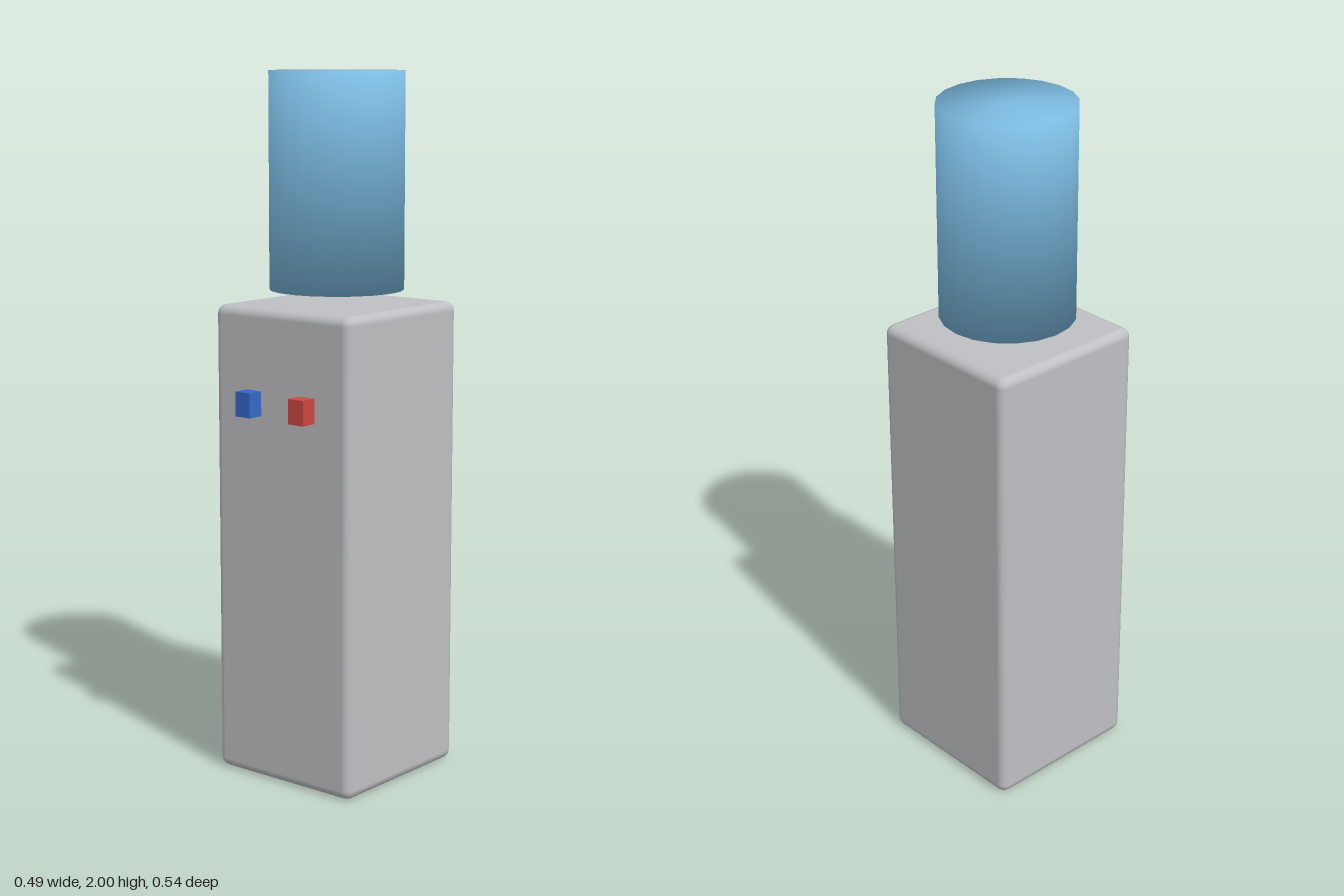
import * as THREE from 'three';
import { RoundedBoxGeometry } from 'three/addons/geometries/RoundedBoxGeometry.js';

const material = (name, color) => {
  const m = new THREE.MeshStandardMaterial({ color });
  m.name = name;
  return m;
};

export function createModel() {
  const group = new THREE.Group();
  group.name = 'waterDispenser';
  const grey = material('cabinet grey', 0xbfc0c3);
  const blue = material('bottle blue', 0x7bbae0);
  const cold = material('cold tap blue', 0x3568c8);
  const hot = material('hot tap red', 0xcc4642);

  const add = (name, geometry, mat, x, y, z) => {
    const mesh = new THREE.Mesh(geometry, mat);
    mesh.name = name;
    mesh.position.set(x, y, z);
    group.add(mesh);
    return mesh;
  };

  // Tall cabinet with softly bevelled edges
  add('cabinet', new RoundedBoxGeometry(0.487, 1.355, 0.49, 2, 0.027), grey, 0, 0.6775, -0.025);

  // Bottle floating just above the cabinet, shaded smoothly across its rims
  const bottleGeo = new THREE.CylinderGeometry(0.19, 0.19, 0.607, 20);
  const pos = bottleGeo.attributes.position;
  const normal = new THREE.Vector3();
  for (let i = 0; i < pos.count; i++) {
    normal.set(pos.getX(i) / 0.19, Math.sign(pos.getY(i)), pos.getZ(i) / 0.19).normalize();
    bottleGeo.attributes.normal.setXYZ(i, normal.x, normal.y, normal.z);
  }
  add('bottle', bottleGeo, blue, 0, 1.6965, -0.025);

  // Cold and hot taps on the front
  for (const [name, x, mat] of [['coldTap', -0.096, cold], ['hotTap', 0.096, hot]]) {
    add(name, new THREE.BoxGeometry(0.053, 0.07, 0.053), mat, x, 1.09, 0.2415);
  }

  return group;
}
